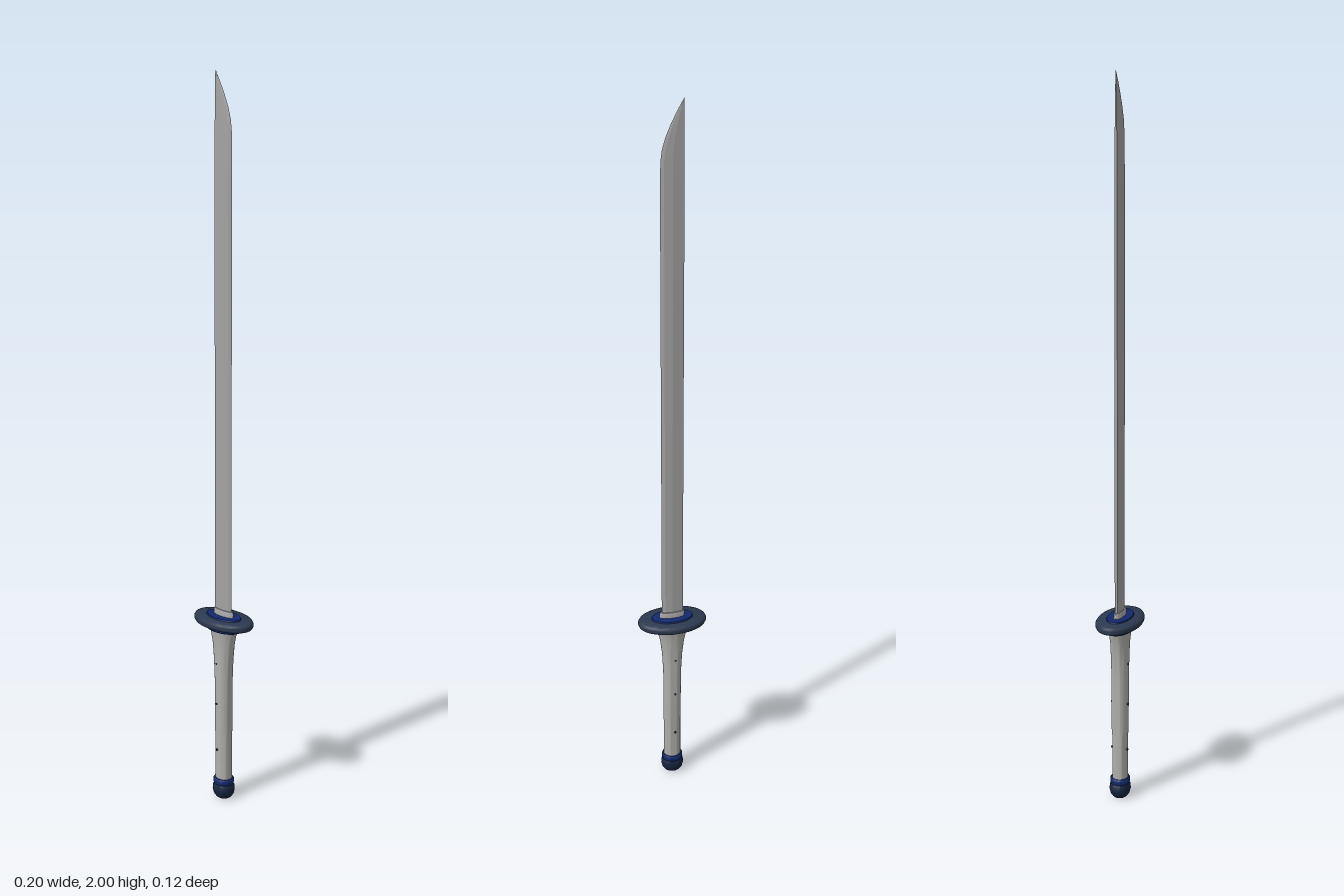
import * as THREE from 'three';
import { toCreasedNormals } from 'three/addons/utils/BufferGeometryUtils.js';

const mat = (name, color) => {
  const m = new THREE.MeshStandardMaterial({ color });
  m.name = name;
  return m;
};

// Closed skin through rings of points, counter-clockwise seen from above, bottom to top
function loft(rings, crease) {
  const n = rings[0].length, pos = [], idx = [];
  rings.forEach(r => r.forEach(p => pos.push(...p)));
  for (let i = 0; i < rings.length - 1; i++) {
    for (let j = 0; j < n; j++) {
      const a = i * n + j, b = i * n + (j + 1) % n;
      idx.push(a, b, b + n, a, b + n, a + n);
    }
  }
  const top = (rings.length - 1) * n;
  for (let j = 1; j < n - 1; j++) idx.push(0, j + 1, j, top, top + j, top + j + 1);
  const g = new THREE.BufferGeometry();
  g.setAttribute('position', new THREE.Float32BufferAttribute(pos, 3));
  g.setIndex(idx);
  return toCreasedNormals(g, crease);
}

// Oval body from rows of [y, half width, half depth]
function oval(rows, sides = 40) {
  return loft(rows.map(([y, rx, rz]) => Array.from({ length: sides }, (_, j) => {
    const a = j / sides * Math.PI * 2;
    return [rx * Math.cos(a), y, -rz * Math.sin(a)];
  })), 0.7);
}

export function createModel() {
  const group = new THREE.Group();
  const steel = mat('blade steel', 0xa3a3a3);
  const wrap = mat('grip grey', 0xb0b0ae);
  const slate = mat('guard slate', 0x2c394f);
  const blue = mat('fitting blue', 0x132a70);
  const navy = mat('pommel navy', 0x16233f);
  const red = mat('base dark red', 0x4a1218);
  const dark = mat('pin dark', 0x2a2a2a);

  const add = (name, geometry, material) => {
    const m = new THREE.Mesh(geometry, material);
    m.name = name;
    group.add(m);
    return m;
  };

  // Blade: straight spine on -x, cutting edge on +x sweeping back to the tip
  const back = -0.03;
  const bladeRows = [
    [0.54, 0.03, 1], [1.74, 0.03, 0.9], [1.85, 0.029, 0.7], [1.88, 0.025, 0.6],
    [1.91, 0.016, 0.5], [1.94, 0.003, 0.4], [1.97, -0.012, 0.28], [2, -0.0295, 0.05],
  ];
  add('blade', loft(bladeRows.map(([y, edge, t]) => {
    const x = f => back + (edge - back) * f;
    return [
      [x(1), y, 0], [x(0.85), y, -0.005 * t], [x(0.5), y, -0.0075 * t], [x(0), y, -0.004 * t],
      [x(0), y, 0.004 * t], [x(0.5), y, 0.0075 * t], [x(0.85), y, 0.005 * t],
    ];
  }), 0.1), steel);

  // Collar at the root of the blade
  add('bladeCollar', oval([[0.54, 0.037, 0.013], [0.562, 0.036, 0.012], [0.566, 0.034, 0.01]]), steel);

  // Oval guard with a rounded rim and a blue seat on both faces
  add('guard', oval([
    [0.523, 0.088, 0.053], [0.526, 0.095, 0.059], [0.532, 0.098, 0.062],
    [0.538, 0.098, 0.062], [0.543, 0.095, 0.059], [0.546, 0.088, 0.053],
  ], 56), slate);
  add('upperSeat', oval([[0.545, 0.06, 0.034], [0.55, 0.058, 0.032]]), blue);
  add('lowerSeat', oval([[0.51, 0.058, 0.037], [0.514, 0.062, 0.04], [0.524, 0.064, 0.042]]), blue);

  // Grip flaring towards the guard
  add('grip', oval([
    [0.055, 0.025, 0.022], [0.19, 0.025, 0.022], [0.21, 0.025, 0.024], [0.36, 0.026, 0.024],
    [0.42, 0.029, 0.025], [0.47, 0.035, 0.026], [0.5, 0.042, 0.029], [0.512, 0.045, 0.031],
  ]), wrap);

  // Small pins through the grip
  for (const y of [0.15, 0.29, 0.41]) {
    const pin = add('gripPin', new THREE.CylinderGeometry(0.003, 0.003, 0.051, 10), dark);
    pin.rotation.x = Math.PI / 2;
    pin.position.set(-0.004, y, 0);
  }

  // Pommel: blue ring, rounded body and a red base plate
  add('pommelRing', oval([[0.043, 0.028, 0.026], [0.047, 0.03, 0.028], [0.057, 0.03, 0.028], [0.061, 0.027, 0.025]]), blue);
  add('pommel', oval([
    [0.004, 0.024, 0.022], [0.012, 0.03, 0.027], [0.025, 0.033, 0.03],
    [0.036, 0.032, 0.029], [0.044, 0.027, 0.025],
  ]), navy);
  add('pommelBase', oval([[0, 0.019, 0.017], [0.005, 0.024, 0.022]]), red);

  return group;
}
